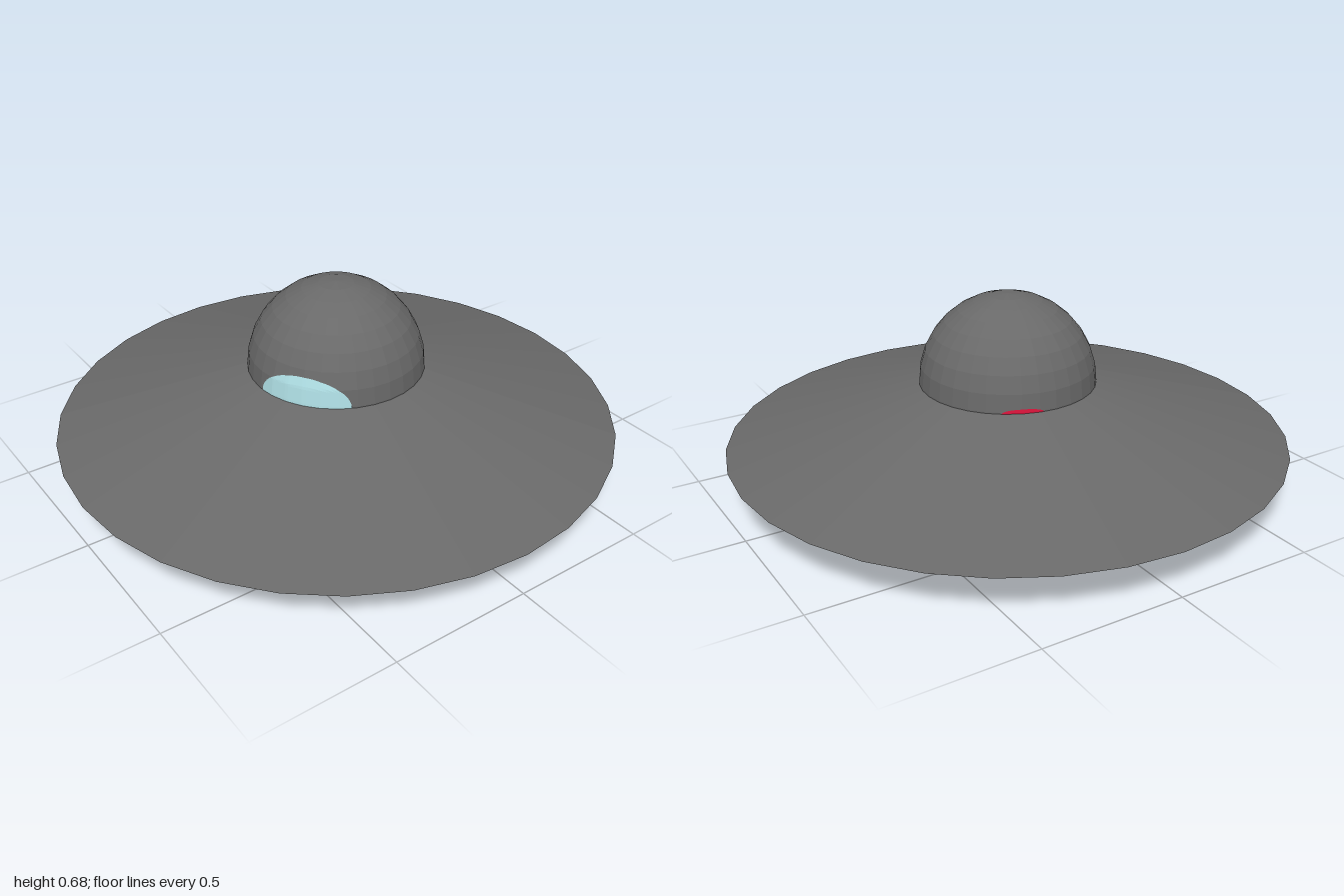
import * as THREE from 'three';
import { ParametricGeometry } from 'three/addons/geometries/ParametricGeometry.js';

const SIDES = 32, STEP = Math.PI * 2 / SIDES;
const RIM_Y = 0.155, DECK_Y = 0.36, DOME_Y = 0.365, DOME_R = 0.315;
const LIFT = 0.002; // how far painted patches sit off the surface
const deg = Math.PI / 180;

const hullGrey = new THREE.MeshStandardMaterial({ color: 0x696969 });
const crimson = new THREE.MeshStandardMaterial({ color: 0xdc143c, side: THREE.DoubleSide });
const paleBlue = new THREE.MeshStandardMaterial({ color: 0xb0e0e6, side: THREE.DoubleSide });

// Radius factor of a regular polygon at a given azimuth
function facet(a) {
  const f = a - Math.floor(a / STEP) * STEP - STEP / 2;
  return Math.cos(STEP / 2) / Math.cos(f);
}

// Radius of the faceted dome at a given height
function domeRadius(y) {
  const t = Math.asin(Math.min(Math.max((y - DOME_Y) / DOME_R, 0), 1)) / STEP;
  const lat = Math.floor(t) * STEP;
  const y0 = Math.sin(lat), y1 = Math.sin(lat + STEP);
  const k = (Math.max(y - DOME_Y, 0) / DOME_R - y0) / (y1 - y0);
  return DOME_R * (Math.cos(lat) * (1 - k) + Math.cos(lat + STEP) * k);
}

function addMesh(group, name, geometry, material) {
  const flat = geometry.toNonIndexed();
  flat.computeVertexNormals(); // faceted look
  const mesh = new THREE.Mesh(flat, material);
  mesh.name = name;
  group.add(mesh);
}

function lathe(points) {
  return new THREE.LatheGeometry(points.map(([r, y]) => new THREE.Vector2(r, y)), SIDES);
}

// Half-ellipse window hugging the base of the dome
function domePatch(azimuth, halfWidth, height) {
  return new ParametricGeometry((u, v, p) => {
    const s = Math.cos(Math.PI * (1 - u));
    const a = azimuth + s * halfWidth;
    const y = DECK_Y + 0.001 + height * Math.sqrt(Math.max(0, 1 - s * s)) * v;
    const r = (domeRadius(y) + LIFT) * facet(a);
    p.set(Math.sin(a) * r, y, Math.cos(a) * r);
  }, 40, 10);
}

// Circular spot on the underside, cut off by the rim
function undersideSpot(cx, cz, radius) {
  const dist = Math.hypot(cx, cz), mid = Math.atan2(cx, cz);
  const half = Math.asin(radius / dist);
  return new ParametricGeometry((u, v, p) => {
    const off = -Math.cos(Math.PI * u) * half, a = mid + off;
    const chord = Math.sqrt(Math.max(0, radius ** 2 - (dist * Math.sin(off)) ** 2));
    const rim = facet(a);
    const inner = Math.min(dist * Math.cos(off) - chord, rim);
    const outer = Math.min(dist * Math.cos(off) + chord, rim);
    const r = inner + (outer - inner) * v;
    p.set(Math.sin(a) * r, RIM_Y * r / rim - LIFT, Math.cos(a) * r);
  }, 60, 4);
}

export function createModel() {
  const model = new THREE.Group();
  model.name = 'flyingSaucer';

  // Saucer hull: shallow cone below, steeper cone above
  addMesh(model, 'underside', lathe([[0, 0], [1, RIM_Y]]), hullGrey);
  addMesh(model, 'upperHull', lathe([[1, RIM_Y], [0.32, DECK_Y], [0, DECK_Y]]), hullGrey);

  // Faceted dome
  const profile = [[DOME_R, DECK_Y - 0.005]];
  for (let i = 0; i <= 8; i++) {
    profile.push([DOME_R * Math.cos(i * STEP), DOME_Y + DOME_R * Math.sin(i * STEP)]);
  }
  profile[8 + 1][0] = 0;
  addMesh(model, 'dome', lathe(profile), hullGrey);

  // Coloured details
  addMesh(model, 'window', domePatch(-57 * deg, 31 * deg, 0.1), paleBlue);
  addMesh(model, 'rearLight', domePatch(158 * deg, 13 * deg, 0.015), crimson);
  addMesh(model, 'undersideLight', undersideSpot(0.66, 0.48, 0.31), crimson);
  return model;
}
